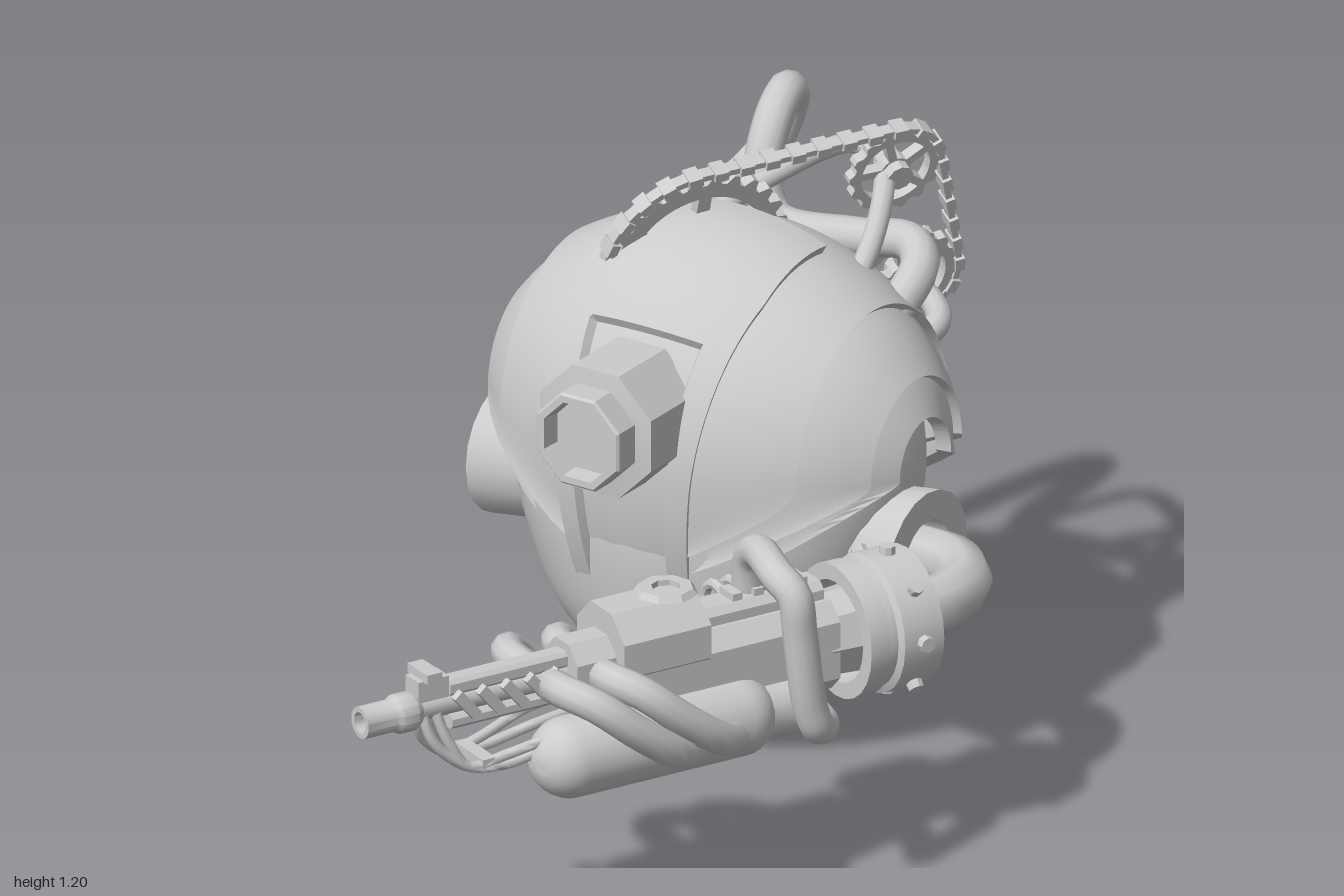
import * as THREE from 'three';
import { toCreasedNormals } from 'three/addons/utils/BufferGeometryUtils.js';

const V = (x, y, z) => new THREE.Vector3(x, y, z);
const rad = THREE.MathUtils.degToRad;
const mat = new THREE.MeshStandardMaterial({ color: 0xcccccc, side: THREE.DoubleSide });
const CX = -0.115;

function add(parent, name, geo, x = 0, y = 0, z = 0, crease = 0.6) {
  const m = new THREE.Mesh(toCreasedNormals(geo, crease), mat);
  m.name = name;
  m.position.set(x, y, z);
  parent.add(m);
  return m;
}
const box = (w, h, d) => new THREE.BoxGeometry(w, h, d);
// cylinder along z, rf is the radius at the +z end
const rod = (rf, rb, len, n = 16) => new THREE.CylinderGeometry(rf, rb, len, n).rotateX(Math.PI / 2);
const lathe = (pts, n = 24) => new THREE.LatheGeometry(pts.map(p => new THREE.Vector2(...p)), n);

function pipe(parent, name, pts, r, n = 10, seg = 28) {
  const curve = new THREE.CatmullRomCurve3(pts.map(p => V(...p)), false, 'centripetal');
  return add(parent, name, new THREE.TubeGeometry(curve, seg, r, n, false), 0, 0, 0, 0.9);
}

// box along z with chamfered long edges
function chamferBox(w, h, d, c) {
  const a = w / 2, b = h / 2;
  const s = new THREE.Shape([[a - c, -b], [a, -b + c], [a, b - c], [a - c, b], [c - a, b], [-a, b - c], [-a, c - b], [c - a, -b]]
    .map(p => new THREE.Vector2(...p)));
  return new THREE.ExtrudeGeometry(s, { depth: d, bevelEnabled: false }).translate(0, 0, -d / 2);
}

// point on the armour ellipsoid: dx is the share of the half width, phi turns about x from the front over the top
function onShell(dx, phi, s) {
  const r = Math.sqrt(Math.max(0, 1 - dx * dx)), sn = Math.sin(rad(phi));
  return [CX + s * 0.52 * dx, 0.65 + s * (sn > 0 ? 0.43 : 0.55) * r * sn, -0.44 + s * 0.38 * r * Math.cos(rad(phi))];
}

// surface grid over two lists
function patch(us, vs, fn) {
  const pos = [], idx = [], n = us.length;
  vs.forEach(v => us.forEach(u => pos.push(...fn(u, v))));
  for (let j = 0; j < vs.length - 1; j++) for (let i = 0; i < n - 1; i++) {
    const a = j * n + i;
    idx.push(a, a + 1, a + n + 1, a, a + n + 1, a + n);
  }
  const g = new THREE.BufferGeometry();
  g.setAttribute('position', new THREE.Float32BufferAttribute(pos, 3));
  g.setIndex(idx);
  return g;
}
const steps = (a, b, n, k = 0) => Array.from({ length: n + 1 }, (_, i) => ({ v: a + (b - a) * i / n, k }));
const rimmed = list => [{ v: list[0].v, k: 2 }, ...list, { v: list.at(-1).v, k: 2 }];

function buildBody(root) {
  const body = new THREE.Group();
  body.name = 'body';
  root.add(body);
  const profile = new THREE.SplineCurve([[0.09, 0.08], [0.26, 0.185], [0.34, 0.275], [0.39, 0.38], [0.43, 0.5], [0.445, 0.62], [0.42, 0.76],
    [0.33, 0.89], [0.18, 0.98], [0, 1.01]].map(p => new THREE.Vector2(...p))).getPoints(28);
  // round at the bottom, flattened front to back towards the top
  const hull = new THREE.LatheGeometry(profile, 40), hp = hull.attributes.position;
  for (let i = 0; i < hp.count; i++) hp.setZ(i, hp.getZ(i) * (1 - 0.5 * Math.min(hp.getY(i), 0.55)));
  add(body, 'hull', hull, CX, 0, -0.415, 1);
  add(body, 'foot', lathe([[0.06, 0.06], [0.06, 0], [0.08, 0], [0.093, 0.012], [0.093, 0.09], [0.1, 0.1]]), CX, 0, -0.4);
  // hollow flared sockets on both sides
  for (const s of [-1, 1]) {
    const ring = lathe([[0.1, 0], [0.125, 0.1], [0.14, 0.22], [0.08, 0.22], [0.075, 0.1], [0, 0.1]], 20).rotateZ(-s * Math.PI / 2);
    add(body, s > 0 ? 'leftSocket' : 'rightSocket', ring, CX + s * 0.28, 0.47, -0.41);
  }
  // nested armour shells, each reaching further out, lying deeper and flaring at its edge
  [[0.69, 0.955, 0.025, -17, 20], [0.9, 0.925, 0.045, -22, 24], [0.968, 0.9, 0.045, -29, 28]].forEach(([a, s, flare, p0, span], i) => {
    const g = patch(rimmed(steps(-1, 1, 30)), rimmed(steps(p0, 180 - p0, 84)), (u, p) => {
      const edge = Math.min(1, Math.min(p.v - p0, 180 - p0 - p.v) / span);
      const dx = 0.28 + (a - 0.28) * Math.sin(edge * Math.PI / 2);
      return onShell(u.v * dx, p.v, u.k === 2 || p.k === 2 ? 0.88 : s + flare * Math.abs(u.v) ** 4);
    });
    add(body, 'armourShell' + i, g);
  });
  // face panel with a sunken field
  const us = rimmed([...steps(-1, -0.69, 2), ...steps(-0.66, 0.66, 8, 1), ...steps(0.69, 1, 2)]);
  const ps = rimmed([...steps(-29, -28, 1), ...steps(-27, 41, 18, 1), ...steps(42, 98, 12)]);
  add(body, 'facePanel', patch(us, ps, (u, p) => {
    const t = Math.min(1, (p.v + 29) / 90);
    const s = u.k === 2 || p.k === 2 ? 0.88 : u.k && p.k ? 0.96 : 1.005;
    return onShell(u.v * (0.26 + 0.14 * t), p.v, s);
  }));
  // eight-sided eye
  const eye = lathe([[0, 0.19], [0.08, 0.19], [0.085, 0.23], [0.1, 0.23], [0.105, 0.225], [0.105, 0.17], [0.142, 0.165], [0.142, 0]], 8);
  add(body, 'eye', eye.rotateY(Math.PI / 8).rotateX(Math.PI / 2), CX, 0.775, -0.15, 0.3);
}

// toothed wheel with cut-outs between the spokes
function sprocket(r, teeth, spokes) {
  const s = new THREE.Shape(), n = teeth * 4;
  for (let i = 0; i < n; i++) {
    const a = i / n * Math.PI * 2, q = i % 4 < 2 ? r : r * 0.9;
    s[i ? 'lineTo' : 'moveTo'](q * Math.cos(a), q * Math.sin(a));
  }
  s.closePath();
  for (let i = 0; i < spokes; i++) {
    const a = i / spokes * Math.PI * 2, w = Math.PI / spokes, h = new THREE.Path();
    h.absarc(0, 0, r * 0.74, a - w * 0.82, a + w * 0.82, false);
    h.absarc(0, 0, r * 0.32, a + w * 0.55, a - w * 0.55, true);
    h.closePath();
    s.holes.push(h);
  }
  return new THREE.ExtrudeGeometry(s, { depth: 0.024, bevelEnabled: false, curveSegments: 8 }).translate(0, 0, -0.012);
}

function buildDrive(root) {
  // the wheel plane is turned and leans to the left at the top
  const drive = new THREE.Group();
  drive.name = 'chainDrive';
  drive.position.set(-0.19, 0.975, -0.44);
  drive.rotation.set(0.3, Math.PI / 3, 0, 'YXZ');
  root.add(drive);
  const wheels = [[0, 0, 0.2, 26, 6], [0.42, 0.12, 0.1, 14, 5], [0.485, -0.17, 0.115, 16, 5]];
  wheels.forEach(([u, v, r, t, k], i) => {
    add(drive, 'sprocket' + i, sprocket(r, t, k), u, v, 0, 0.3);
    add(drive, 'hub' + i, rod(0.028, 0.028, 0.07, 10), u, v, 0);
  });
  // links follow the outline around the three wheels
  const outline = [];
  for (let i = 0; i <= 72; i++) {
    const a = -i / 72 * Math.PI * 2, c = Math.cos(a), s = Math.sin(a);
    const [u, v, r] = wheels.reduce((m, w) => (w[0] * c + w[1] * s + w[2] > m[0] * c + m[1] * s + m[2] ? w : m));
    outline.push(V(u + r * c, v + r * s, 0));
  }
  const loop = new THREE.CurvePath();
  for (let i = 0; i < 72; i++) loop.add(new THREE.LineCurve3(outline[i], outline[i + 1]));
  const pts = loop.getSpacedPoints(78);
  for (let i = 0; i < 78; i++) {
    const d = pts[i + 1].clone().sub(pts[i]);
    const link = add(drive, 'chainLink', box(d.length() * 1.05, i % 2 ? 0.02 : 0.013, i % 2 ? 0.04 : 0.025), ...pts[i].clone().addScaledVector(d, 0.5).toArray());
    link.rotation.z = Math.atan2(d.y, d.x);
  }
  pipe(root, 'backPipe', [[-0.37, 0.86, -0.54], [-0.37, 0.91, -0.68], [-0.345, 0.95, -0.82], [-0.32, 1.01, -0.915], [-0.295, 1.09, -0.935],
    [-0.27, 1.14, -0.89], [-0.25, 1.11, -0.81], [-0.235, 1.01, -0.75], [-0.19, 0.94, -0.73], [0, 0.95, -0.73], [0.13, 0.97, -0.73],
    [0.185, 0.95, -0.68], [0.19, 0.86, -0.52]], 0.039, 12, 70);
  pipe(root, 'upperStrut', [[0.13, 0.94, -0.52], [0.11, 1.0, -0.62], [0.07, 1.05, -0.72], [0.03, 1.09, -0.79]], 0.022);
  pipe(root, 'lowerStrut', [[0.17, 0.77, -0.66], [0.18, 0.8, -0.75], [0.13, 0.81, -0.81], [0.01, 0.81, -0.88]], 0.026);
  pipe(root, 'crossStrut', [[-0.28, 0.96, -0.5], [-0.2, 1.03, -0.72], [-0.13, 1.06, -0.89], [-0.08, 1.06, -0.9], [0.03, 1.09, -0.8]], 0.02);
}

function buildArm(root) {
  pipe(root, 'armPipe', [[0.22, 0.47, -0.41], [0.37, 0.47, -0.43], [0.44, 0.47, -0.42], [0.505, 0.47, -0.36], [0.525, 0.47, -0.27], [0.5, 0.47, -0.18], [0.475, 0.47, -0.1]], 0.057, 8);
  const arm = new THREE.Group();
  arm.name = 'armTool';
  arm.position.set(0.475, 0, -0.09);
  arm.rotation.y = -0.429;
  root.add(arm);
  // wrist collar with bolts
  add(arm, 'collar', lathe([[0.06, -0.05], [0.115, -0.075], [0.142, -0.075], [0.142, 0.015], [0.128, 0.022], [0.128, 0.04], [0.138, 0.045], [0.138, 0.09], [0.105, 0.09], [0.1, 0.03], [0, 0.03]]).rotateX(Math.PI / 2), 0, 0.475, 0);
  for (let i = 0; i < 8; i++) {
    const a = i * Math.PI / 4, bolt = add(arm, 'collarBolt', new THREE.CylinderGeometry(0.016, 0.018, 0.03, 8), -Math.sin(a) * 0.142, 0.475 + Math.cos(a) * 0.142, -0.03);
    bolt.rotation.z = a;
  }
  // receiver and housing
  add(arm, 'wristShaft', rod(0.085, 0.095, 0.14, 8), 0, 0.475, 0.09);
  add(arm, 'receiver', chamferBox(0.17, 0.19, 0.5, 0.035), 0, 0.475, 0.38, 0.3);
  add(arm, 'receiverRail', chamferBox(0.08, 0.06, 0.36, 0.015), 0, 0.575, 0.32, 0.3);
  add(arm, 'housing', chamferBox(0.18, 0.17, 0.2, 0.05), 0, 0.565, 0.53, 0.3);
  add(arm, 'housingNose', chamferBox(0.12, 0.11, 0.1, 0.035), 0, 0.545, 0.67, 0.3);
  add(arm, 'topCap', lathe([[0.03, 0], [0.03, 0.012], [0.055, 0.012], [0.065, 0]], 8), 0, 0.65, 0.48, 0.3);
  for (let i = 0; i < 4; i++) {
    add(arm, 'railStud', box(0.05, 0.03, 0.022), 0, 0.605, 0.18 + i * 0.05);
    add(arm, 'coolingRing', new THREE.TorusGeometry(0.045, 0.011, 8, 16), -0.12, 0.53, 0.17 + i * 0.04);
  }
  add(arm, 'coolingCore', rod(0.025, 0.025, 0.2, 10), -0.12, 0.53, 0.23);
  // tank
  add(arm, 'tank', new THREE.CapsuleGeometry(0.083, 0.38, 8, 20).rotateX(Math.PI / 2), 0.07, 0.383, 0.555);
  add(arm, 'tankCap', rod(0.06, 0.06, 0.08, 12), 0.07, 0.382, 0.28);
  // hoses wrapped around both flanks
  for (const s of [-1, 1]) for (let i = 0; i < 2; i++) {
    const z = 0.76 - i * 0.11, k = 1 - i * 0.06;
    pipe(arm, 'flankHose', [[s * 0.03, 0.525, z], [s * 0.1 * k, 0.54, z + 0.015], [s * 0.165 * k, 0.525, z - 0.02], [s * 0.195 * k, 0.46, z - 0.1],
      [s * 0.18 * k, 0.39, z - 0.2], [s * 0.1, 0.365, z - 0.27]], 0.034, 10, 20);
  }
  // barrel and muzzle
  add(arm, 'barrel', rod(0.024, 0.028, 0.5, 12), 0, 0.53, 0.88);
  add(arm, 'barrelTop', chamferBox(0.046, 0.035, 0.34, 0.008), 0, 0.565, 0.82, 0.3);
  add(arm, 'barrelBed', chamferBox(0.06, 0.03, 0.34, 0.008), 0, 0.495, 0.82, 0.3);
  add(arm, 'muzzle', lathe([[0.022, 0.0], [0.022, 0.13], [0.033, 0.13], [0.033, 0.06], [0.04, 0.05], [0.04, 0.015], [0.03, 0]], 14).rotateX(Math.PI / 2), 0, 0.53, 1.055);
  add(arm, 'sightBase', box(0.05, 0.045, 0.07), 0, 0.575, 1.03);
  add(arm, 'sightWing', box(0.075, 0.02, 0.035), 0, 0.605, 1.035);
  for (const s of [-1, 1]) {
    for (let i = 0; i < 5; i++) {
      const fin = add(arm, 'ventFin', box(0.016, 0.07, 0.022), s * 0.034, 0.53, 0.74 + i * 0.055);
      fin.rotation.x = 0.7;
    }
    // thin feed lines below the barrel
    for (const q of [0, 1]) pipe(arm, 'feedLine', [[s * 0.06, 0.45 - q * 0.03, 0.6], [s * (0.07 - q * 0.02), 0.44 - q * 0.03, 0.75],
      [s * 0.05, 0.41 - q * 0.02, 0.88], [s * 0.04, 0.4, 0.96], [s * 0.028, 0.46, 1.0 + q * 0.03], [s * 0.015, 0.52, 1.02 + q * 0.03]], 0.011, 8);
  }
  add(arm, 'feedClamp', box(0.11, 0.025, 0.03), 0, 0.4, 0.92);
  // carrying handle
  pipe(root, 'handle', [[0.34, 0.58, 0.15], [0.355, 0.68, 0.165], [0.39, 0.707, 0.19], [0.49, 0.707, 0.27], [0.535, 0.68, 0.28], [0.545, 0.6, 0.275],
    [0.555, 0.44, 0.255], [0.56, 0.39, 0.235], [0.54, 0.375, 0.19], [0.47, 0.38, 0.14], [0.4, 0.42, 0.12]], 0.035, 12, 60);
}

export function createModel() {
  const root = new THREE.Group();
  root.name = 'diverMachine';
  buildBody(root);
  buildDrive(root);
  buildArm(root);
  return root;
}
